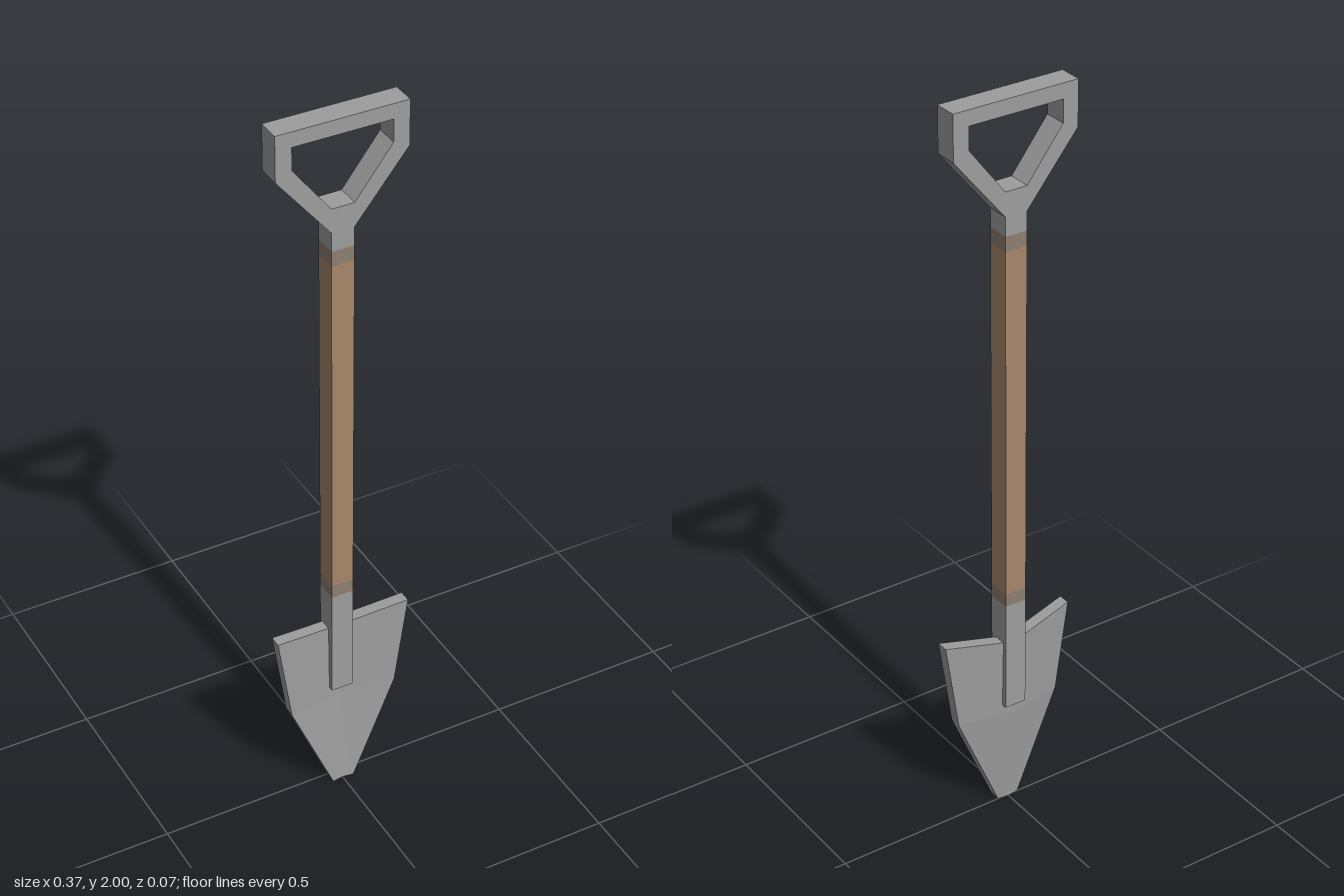
import * as THREE from 'three';

const mat = (name, color) => {
  const m = new THREE.MeshStandardMaterial({ color, flatShading: true });
  m.name = name;
  return m;
};

// Shaft and grip share one depth
const BACK = -0.036, DEPTH = 0.063, HALF = 0.03;

// Pointed blade: rows of left edge, centre crease and right edge, front and back
function bladeGeometry() {
  const thick = 0.033;
  // half width, edge height, centre height, centre back z
  const rows = [
    [0.187, 0.537, 0.505, -0.03],
    [0.15, 0.285, 0.285, -0.025],
    [0.03, 0, 0, -0.004],
  ];
  const pos = [], idx = [];
  for (const dz of [thick, 0])
    for (const [w, ye, yc, zc] of rows)
      pos.push(-w, ye, dz, 0, yc, zc + dz, w, ye, dz);
  const quad = (a, b, c, d) => idx.push(a, b, c, a, c, d);
  for (let r = 0; r < 2; r++)
    for (let c = 0; c < 2; c++) {
      const a = r * 3 + c;
      quad(a, a + 3, a + 4, a + 1);
      quad(a + 9, a + 10, a + 13, a + 12);
    }
  // Rim, counter-clockwise as seen from the front
  const rim = [0, 3, 6, 7, 8, 5, 2, 1];
  rim.forEach((a, i) => {
    const b = rim[(i + 1) % rim.length];
    quad(a, a + 9, b + 9, b);
  });
  const g = new THREE.BufferGeometry();
  g.setAttribute('position', new THREE.Float32BufferAttribute(pos, 3));
  g.setIndex(idx);
  const flat = g.toNonIndexed();
  flat.computeVertexNormals();
  return flat;
}

// D-shaped grip with its neck, cut out of one plate
function gripGeometry() {
  const mirrored = (half) => [
    ...half,
    ...half.slice().reverse().map(([x, y]) => [-x, y]),
  ].map(([x, y]) => new THREE.Vector2(x, y));
  const shape = new THREE.Shape(
    mirrored([[HALF, 1.655], [HALF, 1.705], [0.172, 1.88], [0.172, 2]]));
  shape.holes.push(new THREE.Path(
    mirrored([[HALF, 1.77], [0.13, 1.9], [0.13, 1.96]])));
  const g = new THREE.ExtrudeGeometry(shape, { depth: DEPTH, bevelEnabled: false });
  return g.translate(0, 0, BACK);
}

export function createModel() {
  const group = new THREE.Group();
  group.name = 'shovel';
  const metal = mat('grey metal', 0x9d9d9d);
  const wood = mat('brown wood', 0xa8866a);
  const band = mat('dull band', 0x8d7d71);

  const add = (name, geometry, material) => {
    const m = new THREE.Mesh(geometry, material);
    m.name = name;
    group.add(m);
  };
  // Square shaft section between two heights
  const section = (name, y0, y1, material) => add(name,
    new THREE.BoxGeometry(HALF * 2, y1 - y0, DEPTH)
      .translate(0, (y0 + y1) / 2, BACK + DEPTH / 2), material);

  add('blade', bladeGeometry(), metal);
  section('socket', 0.315, 0.625, metal);
  section('lowerBand', 0.625, 0.662, band);
  section('shaft', 0.662, 1.615, wood);
  section('upperBand', 1.615, 1.655, band);
  add('grip', gripGeometry(), metal);
  return group;
}
